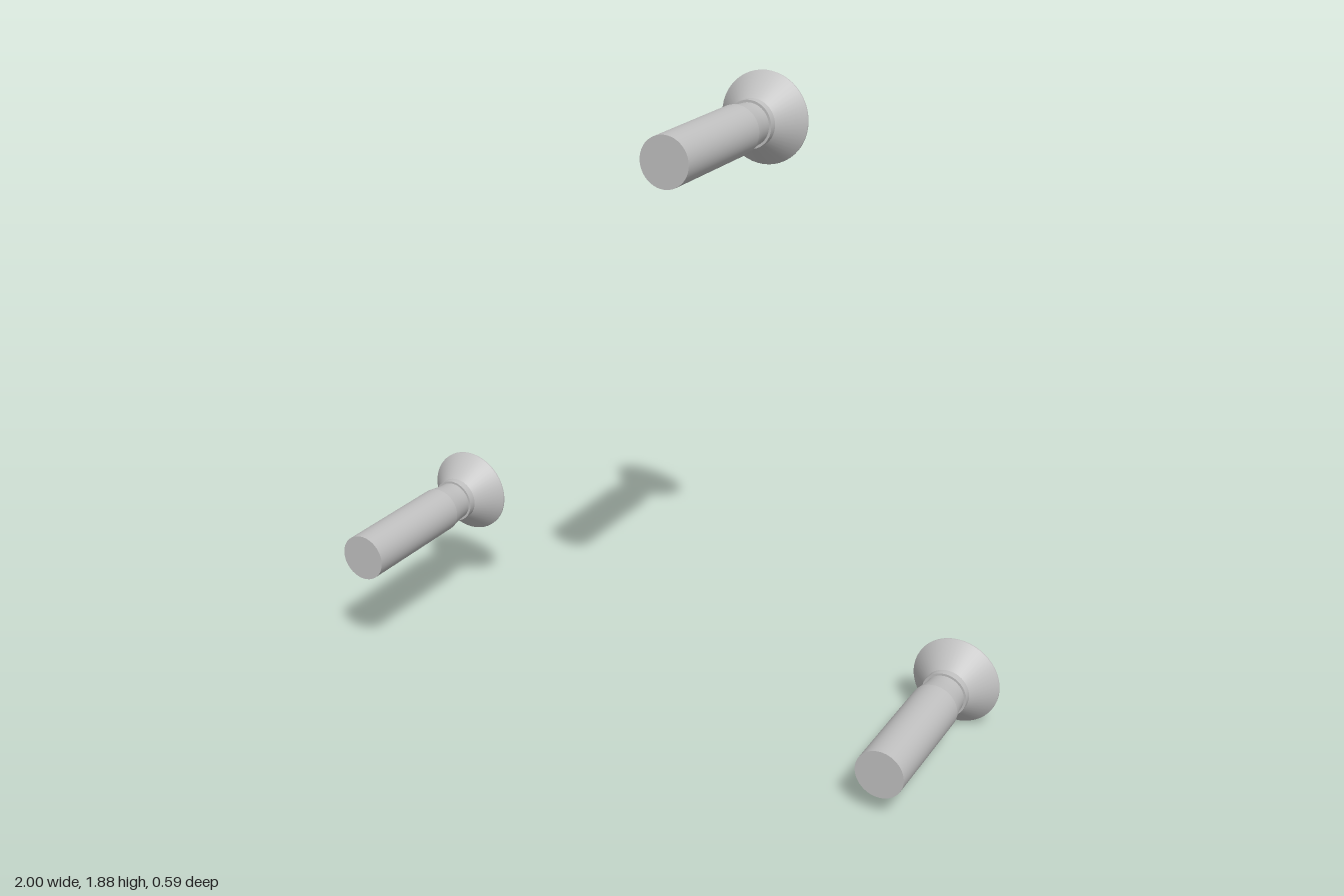
import * as THREE from 'three';

const HALF = 0.293; // half the screw length
const HEAD_R = 0.134;
const DEPTH = 0.06; // depth of the cross recess

// Profile sections [name, radius/height points]; separate sections keep the edges sharp
const SECTIONS = [
  ['shaftEnd', [[0, -HALF], [0.072, -HALF]]],
  ['shaft', [[0.072, -HALF], [0.072, 0.11]]],
  ['neckTaper', [[0.072, 0.11], [0.066, 0.145], [0.063, 0.17], [0.062, 0.19]]],
  ['collarStep', [[0.062, 0.19], [0.069, 0.19]]],
  ['collar', [[0.069, 0.19], [0.069, 0.214]]],
  ['headCone', [[0.069, 0.214], [HEAD_R, HALF - 0.004]]],
  ['headRim', [[HEAD_R, HALF - 0.004], [HEAD_R, HALF]]],
];

// Counter-clockwise outline of the cross slot
function crossPoints(angle) {
  const L = 0.07, w = 0.014, pts = [];
  for (let i = 0; i < 4; i++) {
    for (const [x, y] of [[L, -w], [L, w], [w, w]]) {
      pts.push(new THREE.Vector2(x, y).rotateAround(new THREE.Vector2(), angle + i * Math.PI / 2));
    }
  }
  return pts;
}

// Walls of the recess, facing inward
function recessWalls(pts) {
  const pos = [];
  pts.forEach((a, i) => {
    const b = pts[(i + 1) % pts.length], top = HALF, low = HALF - DEPTH;
    pos.push(a.x, a.y, top, b.x, b.y, top, b.x, b.y, low);
    pos.push(a.x, a.y, top, b.x, b.y, low, a.x, a.y, low);
  });
  const geo = new THREE.BufferGeometry();
  geo.setAttribute('position', new THREE.Float32BufferAttribute(pos, 3));
  geo.computeVertexNormals();
  return geo;
}

function createScrew(material, angle) {
  const screw = new THREE.Group();
  const add = (name, geo) => {
    const mesh = new THREE.Mesh(geo, material);
    mesh.name = name;
    screw.add(mesh);
  };

  // Turned body, axis along z
  for (const [name, profile] of SECTIONS) {
    const pts = profile.map(([r, h]) => new THREE.Vector2(r, h));
    add(name, new THREE.LatheGeometry(pts, 48).rotateX(Math.PI / 2));
  }

  // Flat head with a cross-shaped opening
  const cross = crossPoints(angle);
  const disc = new THREE.Shape().absarc(0, 0, HEAD_R, 0, Math.PI * 2);
  disc.holes.push(new THREE.Path(cross));
  add('headFace', new THREE.ShapeGeometry(disc, 24).translate(0, 0, HALF));
  add('recessWalls', recessWalls(cross));
  add('recessFloor', new THREE.ShapeGeometry(new THREE.Shape(cross)).translate(0, 0, HALF - DEPTH));

  screw.rotation.y = Math.PI; // head to the back
  return screw;
}

export function createModel() {
  const model = new THREE.Group();
  model.name = 'screwSet';
  const steel = new THREE.MeshStandardMaterial({ color: 0xc0c0c0 });
  steel.name = 'steel grey';

  // Name, x, y and turn of the cross in degrees
  const screws = [
    ['topScrew', 0.195, 1.75, -78],
    ['rightScrew', -0.866, 0.367, -33],
    ['leftScrew', 0.866, 0.134, -54],
  ];
  for (const [name, x, y, turn] of screws) {
    const screw = createScrew(steel, THREE.MathUtils.degToRad(turn));
    screw.name = name;
    screw.position.set(x, y, 0);
    model.add(screw);
  }
  return model;
}
